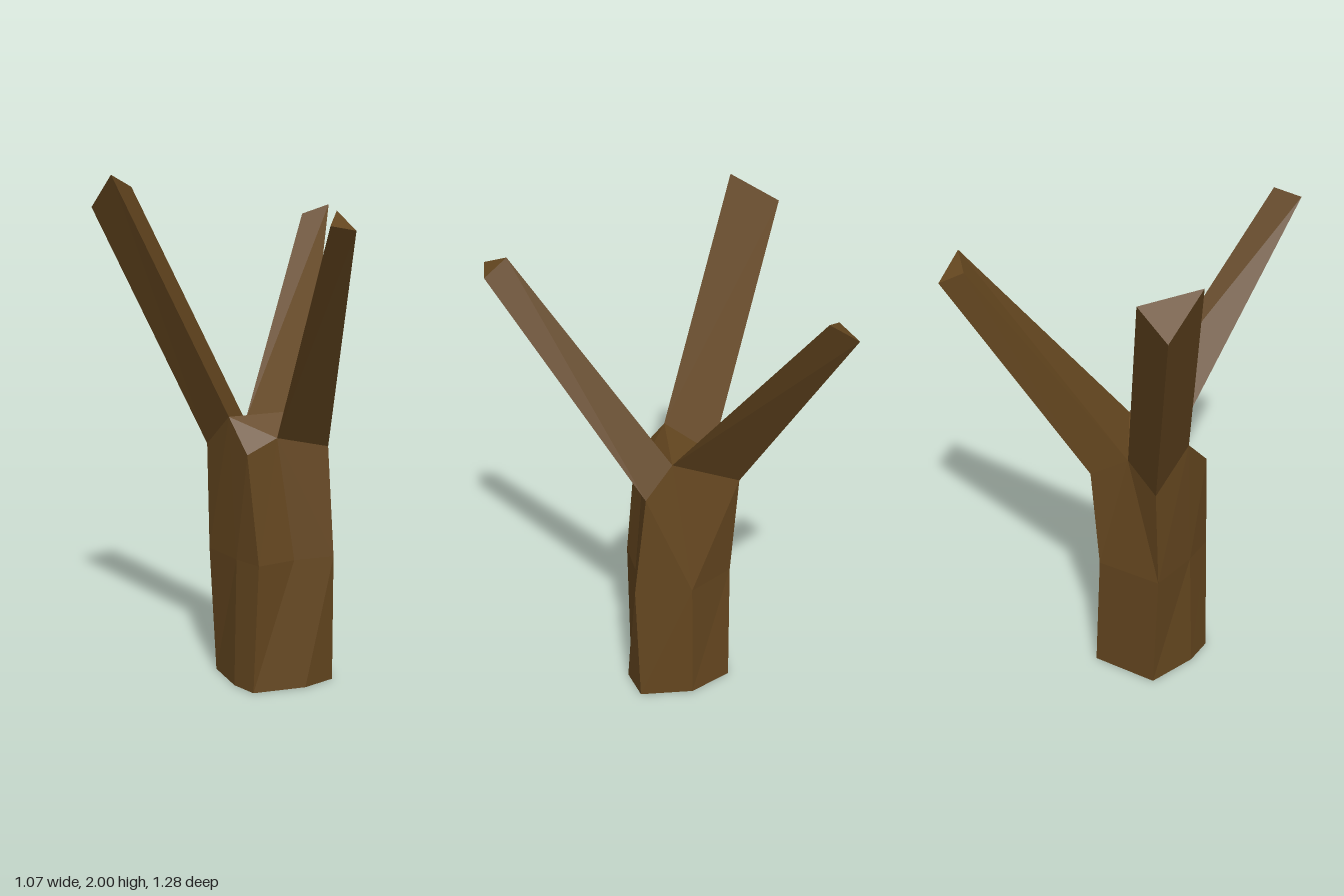
import * as THREE from 'three';

const bark = new THREE.MeshStandardMaterial({ color: 0x64461f, flatShading: true, roughness: 1 });

// Mesh from polygons (lists of points, counter-clockwise from outside), fanned into triangles
function facets(name, polygons) {
  const pos = [];
  for (const p of polygons)
    for (let i = 1; i < p.length - 1; i++) pos.push(...p[0], ...p[i], ...p[i + 1]);
  const g = new THREE.BufferGeometry();
  g.setAttribute('position', new THREE.Float32BufferAttribute(pos, 3));
  g.computeVertexNormals();
  const mesh = new THREE.Mesh(g, bark);
  mesh.name = name;
  return mesh;
}

// Side walls between two matching rings
const walls = (lo, hi) => lo.map((p, i) => {
  const j = (i + 1) % lo.length;
  return [p, lo[j], hi[j], hi[i]];
});

// Three-sided branch with a closed tip
const branch = (name, base, tip) => facets(name, [...walls(base, tip), tip]);

const ring = (y, pts) => pts.map(([x, z]) => [x, y, z]);

export function createModel() {
  const group = new THREE.Group();
  group.name = 'tree';

  // Seven-sided trunk rings
  const foot = ring(0, [[-0.28, 0.08], [-0.08, 0.16], [0.065, 0.155], [0.12, -0.055], [0.06, -0.24], [-0.215, -0.24], [-0.28, -0.04]]);
  const waist = ring(0.515, [[-0.262, 0.095], [-0.1, 0.115], [0.055, 0.172], [0.12, -0.05], [0.03, -0.25], [-0.24, -0.245], [-0.265, -0.04]]);
  const [a, b, c, d, e, f, g] = waist;

  // Fork points where the branches leave the trunk
  const shoulder = [-0.28, 0.95, 0.05];
  const frontLeft = [-0.14, 1.0, 0.06];
  const frontLow = [0.065, 0.95, 0.126];
  const crotch = [0.05, 1.08, 0.01];
  const backLow = [0.05, 0.95, -0.275];
  const backHigh = [-0.08, 1.02, -0.21];
  const tallLow = [-0.235, 0.94, -0.26];
  const tallHigh = [-0.27, 1.08, -0.075];

  group.add(facets('trunk', [
    [...foot].reverse(),
    ...walls(foot, waist),
    // upper trunk
    [a, b, frontLeft, shoulder],
    [c, frontLow, frontLeft, b],
    [d, crotch, frontLow, c],
    [d, e, backLow, crotch],
    [e, f, backHigh, backLow],
    [f, tallLow, backHigh],
    [f, g, tallHigh, tallLow],
    [g, a, shoulder, tallHigh],
    // top between the branches
    [tallHigh, shoulder, frontLeft, crotch],
    [tallHigh, crotch, backHigh],
  ]));

  group.add(
    branch('frontBranch', [frontLeft, frontLow, crotch],
      [[-0.357, 1.865, 0.61], [-0.26, 1.845, 0.637], [-0.27, 1.91, 0.545]]),
    branch('leftBranch', [crotch, backLow, backHigh],
      [[0.528, 1.84, -0.4], [0.532, 1.755, -0.522], [0.448, 1.8, -0.478]]),
    branch('tallBranch', [tallHigh, backHigh, tallLow],
      [[-0.535, 2, -0.455], [-0.35, 1.94, -0.585], [-0.505, 1.865, -0.638]]),
  );
  return group;
}
